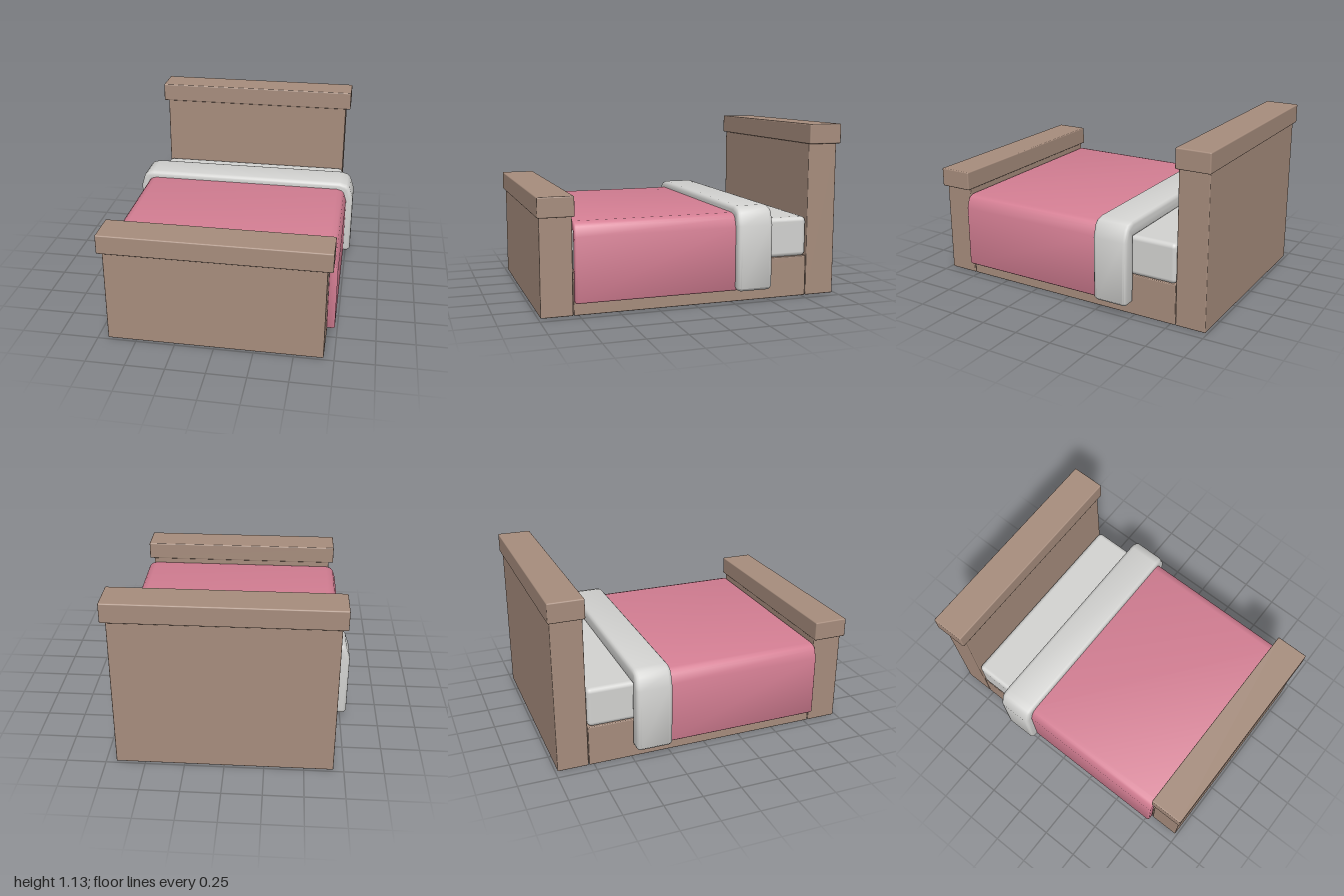
import * as THREE from 'three';
import { RoundedBoxGeometry } from 'three/addons/geometries/RoundedBoxGeometry.js';
import { toCreasedNormals } from 'three/addons/utils/BufferGeometryUtils.js';

const material = (name, color) => {
  const m = new THREE.MeshStandardMaterial({ color });
  m.name = name;
  return m;
};

export function createModel() {
  const wood = material('brown wood', 0xa78d7d);
  const pink = material('pink blanket', 0xd57f94);
  const linen = material('pale linen', 0xd3d3d1);
  const bed = new THREE.Group();
  bed.name = 'bed';

  const add = (name, geometry, mat) => {
    const mesh = new THREE.Mesh(geometry, mat);
    mesh.name = name;
    bed.add(mesh);
    return mesh;
  };

  // Rounded box given by half width, y range and z range
  const box = (name, halfX, y0, y1, z0, z1, r, mat) =>
    add(name, new RoundedBoxGeometry(halfX * 2, y1 - y0, z1 - z0, 2, r), mat)
      .position.set(0, (y0 + y1) / 2, (z0 + z1) / 2);

  // Cloth draped over the mattress: a bevelled arch extruded along z
  const drape = (name, outer, top, inner, innerTop, z0, z1, bevel, corner, mat) => {
    const bottom = 0.085;
    const c = bevel * 0.7;
    const half = [
      [inner, innerTop], [inner, bottom + c / 2], [inner + c / 2, bottom],
      [outer - c, bottom], [outer, bottom + c],
      [outer, top - corner * 1.25],
      [outer - corner * 0.27, top - corner * 0.4],
      [outer - corner * 0.5, top - corner * 0.14],
      [outer - corner, top],
    ];
    const mirrored = half.map(([x, y]) => [-x, y]).reverse();
    const shape = new THREE.Shape([...half, ...mirrored].map(([x, y]) => new THREE.Vector2(x, y)));
    const geometry = new THREE.ExtrudeGeometry(shape, {
      depth: z1 - z0 - 2 * bevel, bevelEnabled: true, bevelThickness: bevel,
      bevelSize: bevel, bevelOffset: -bevel, bevelSegments: 3,
    });
    geometry.translate(0, 0, z0 + bevel);
    add(name, toCreasedNormals(geometry, 0.8), mat);
  };

  // Wooden frame
  box('bedBase', 0.685, 0, 0.268, -0.78, 0.78, 0.006, wood);
  box('footboard', 0.685, 0, 0.62, 0.785, 0.985, 0.006, wood);
  box('footboardCap', 0.718, 0.612, 0.738, 0.775, 1, 0.008, wood);
  box('headboard', 0.685, 0, 1.01, -0.985, -0.785, 0.006, wood);
  box('headboardCap', 0.718, 1.005, 1.133, -1, -0.775, 0.008, wood);

  // Bedding
  box('mattress', 0.685, 0.266, 0.528, -0.78, 0.78, 0.03, linen);
  drape('blanket', 0.737, 0.58, 0.685, 0.52, -0.27, 0.782, 0.012, 0.07, pink);
  drape('foldedSheet', 0.784, 0.625, 0.685, 0.52, -0.493, -0.254, 0.026, 0.095, linen);
  return bed;
}
